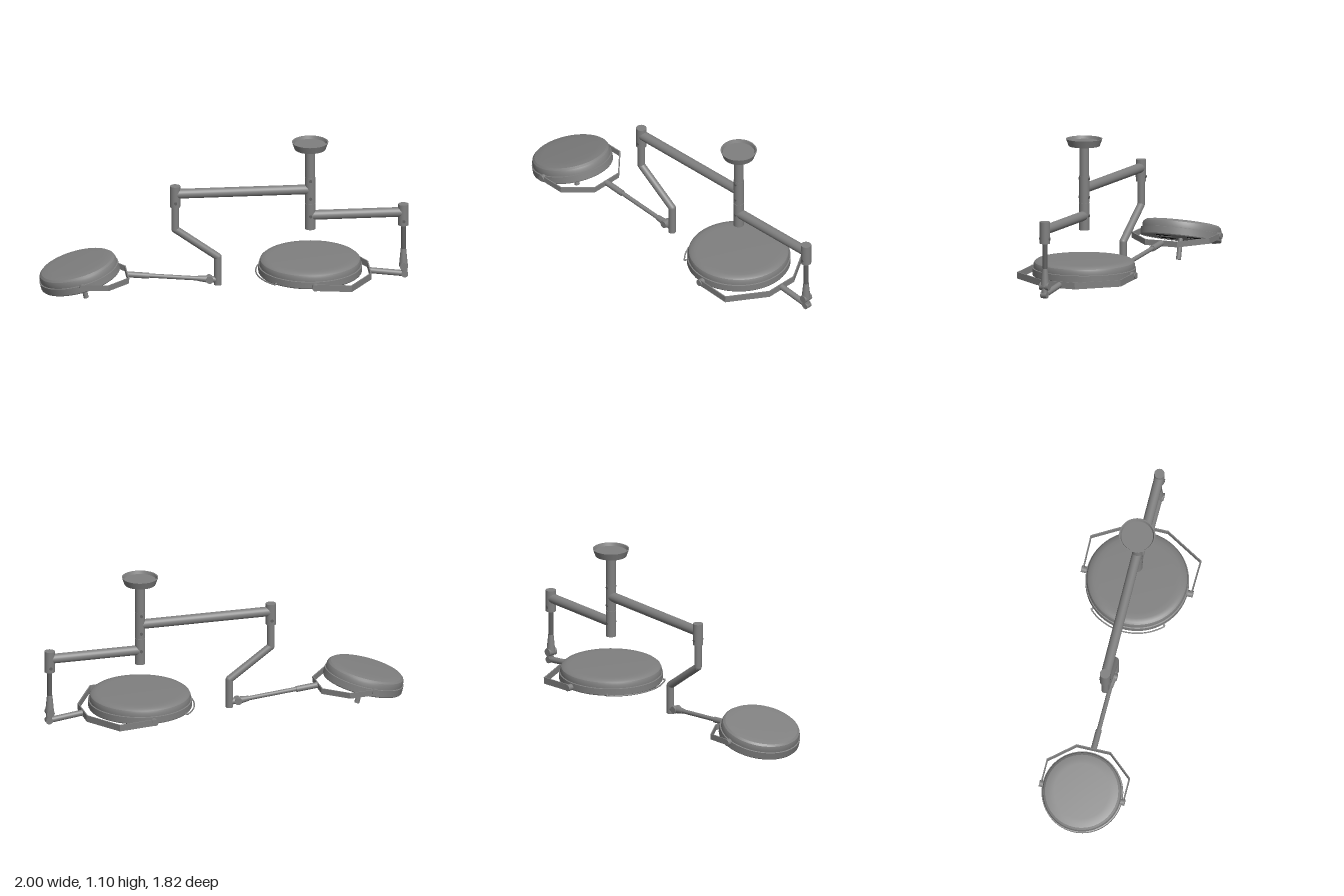
import * as THREE from 'three';
import { toCreasedNormals } from 'three/addons/utils/BufferGeometryUtils.js';

const grey = new THREE.MeshStandardMaterial({ color: 0x808080, side: THREE.DoubleSide });
const darkGrey = new THREE.MeshStandardMaterial({ color: 0x606060 });
const black = new THREE.MeshStandardMaterial({ color: 0x0c0c0c });
const V = (x, y, z = 0) => new THREE.Vector3(x, y, z);

function add(parent, name, geo, mat = grey) {
  const mesh = new THREE.Mesh(geo, mat);
  mesh.name = name;
  parent.add(mesh);
  return mesh;
}

// Round bar from a to b, optionally tapered
function bar(parent, name, a, b, r0, r1 = r0, mat = grey) {
  const dir = b.clone().sub(a);
  const m = add(parent, name, new THREE.CylinderGeometry(r1, r0, dir.length(), 24), mat);
  m.position.copy(a).add(b).multiplyScalar(0.5);
  m.quaternion.setFromUnitVectors(V(0, 1), dir.normalize());
}

function ball(parent, name, p, r) {
  add(parent, name, new THREE.SphereGeometry(r, 20, 14)).position.copy(p);
}

// Pair of bolt heads on both sides of an upright
function bolts(parent, u, y, r) {
  bar(parent, 'bolts', V(u, y, -r - 0.003), V(u, y, r + 0.003), 0.011, 0.011, darkGrey);
}

function lathe(points) {
  const pts = points.map(([x, y]) => new THREE.Vector2(x, y));
  return toCreasedNormals(new THREE.LatheGeometry(pts, 56), 0.5);
}

// Round lamp head, underside at y = 0, with lenses set in the face
function lampHead(name, R, h, holes, holeR) {
  const g = new THREE.Group();
  g.name = name;
  add(g, 'lampShell', lathe([
    [R - 0.02, 0], [R - 0.004, 0], [R, 0.006], [R, h * 0.46], [R - 0.008, h * 0.48],
    [R - 0.008, h * 0.7], [R - 0.014, h * 0.84], [R - 0.028, h * 0.94],
    [R - 0.055, h * 0.985], [R - 0.09, h], [0, h]]));
  const face = new THREE.Shape().absarc(0, 0, R - 0.02, 0, Math.PI * 2);
  for (const [x, z] of holes) {
    face.holes.push(new THREE.Path().absarc(x, z, holeR, 0, Math.PI * 2, true));
    add(g, 'lens', new THREE.CircleGeometry(holeR, 32).rotateX(Math.PI / 2), black)
      .position.set(x, 0.004, z);
  }
  const plate = new THREE.ExtrudeGeometry(face, { depth: 0.014, bevelEnabled: false, curveSegments: 28 });
  add(g, 'lampFace', plate.rotateX(Math.PI / 2).translate(0, 0.016, 0));
  return g;
}

// Angular flat-band yoke with side pivots; pts run from pivot to mid on one side
function yoke(pts, R, bandH) {
  const g = new THREE.Group();
  g.name = 'yoke';
  const path = [...pts.map(p => V(...p)), ...pts.map(([x, y, z]) => V(x, y, -z)).reverse()];
  for (let i = 0; i < path.length - 1; i++) {
    const a = path[i], b = path[i + 1];
    const m = add(g, 'yokeBand', new THREE.BoxGeometry(0.008, bandH, a.distanceTo(b) + 0.005));
    m.position.copy(a).add(b).multiplyScalar(0.5);
    m.lookAt(b);
  }
  for (const s of [-1, 1]) {
    const [x, y, z] = pts[0];
    bar(g, 'yokePivot', V(x, y, s * (R - 0.015)), V(x, y, s * (z + 0.012)), 0.023);
  }
  return g;
}

const ring = (n, r, start) => Array.from({ length: n }, (_, i) => {
  const a = start + (i * Math.PI * 2) / n;
  return [r * Math.cos(a), r * Math.sin(a)];
});

export function createModel() {
  const model = new THREE.Group();
  model.name = 'surgicalLamp';

  // Everything lies in one vertical plane: local x runs along the arms
  const rig = new THREE.Group();
  rig.name = 'rig';
  rig.position.set(0.475, 0, 0.44);
  rig.rotation.y = -0.73;
  model.add(rig);

  // Ceiling mount and pole
  add(rig, 'ceilingMount', lathe([[0, 1.05], [0.108, 1.05], [0.126, 1.1], [0.117, 1.1], [0.11, 1.08], [0, 1.08]]));
  bar(rig, 'pole', V(0, 0.83), V(0, 1.06), 0.034);
  bar(rig, 'upperHub', V(0, 0.652), V(0, 0.84), 0.036);
  bar(rig, 'lowerHub', V(0, 0.46), V(0, 0.648), 0.036);
  bar(rig, 'hubSeam', V(0, 0.64), V(0, 0.66), 0.033);
  for (const y of [0.82, 0.69, 0.56]) bolts(rig, 0, y, 0.036);

  // Horizontal arms with end knuckles
  for (const [name, u, y] of [['upperArm', -0.938, 0.75], ['lowerArm', 0.648, 0.56]]) {
    bar(rig, name, V(0, y), V(u, y), 0.034);
    bar(rig, name + 'Knuckle', V(u, y - 0.095), V(u, y + 0.058), 0.036);
    bolts(rig, u, y - 0.06, 0.036);
  }

  // Cranked drop tube of the small lamp
  const drop = [V(-0.938, 0.67), V(-0.938, 0.49), V(-0.641, 0.275), V(-0.641, 0.07)];
  for (let i = 0; i < 3; i++) {
    bar(rig, 'dropTube', drop[i], drop[i + 1], 0.026);
    if (i) ball(rig, 'dropTubeBend', drop[i], 0.026);
  }

  // Link to the small lamp
  bar(rig, 'linkBracket', V(-0.64, 0.107), V(-0.70, 0.112), 0.022);
  bar(rig, 'linkJoint', V(-0.70, 0.112, -0.028), V(-0.70, 0.112, 0.028), 0.026);
  bar(rig, 'linkSocket', V(-0.70, 0.112), V(-0.78, 0.12), 0.027, 0.018);
  bar(rig, 'linkRod', V(-0.76, 0.118), V(-1.14, 0.155), 0.015);
  bar(rig, 'linkSleeve', V(-1.12, 0.152), V(-1.275, 0.168), 0.021);

  // Drop rod and link of the large lamp
  bar(rig, 'dropRod', V(0.648, 0.27), V(0.648, 0.48), 0.017, 0.017, darkGrey);
  bar(rig, 'dropSocket', V(0.648, 0.165), V(0.648, 0.29), 0.031, 0.019);
  bar(rig, 'dropJoint', V(0.648, 0.165, -0.033), V(0.648, 0.165, 0.033), 0.028);
  bar(rig, 'dropElbow', V(0.65, 0.165), V(0.655, 0.106), 0.022);
  bar(rig, 'elbowJoint', V(0.655, 0.106, -0.022), V(0.655, 0.106, 0.022), 0.024);
  bar(rig, 'lampLink', V(0.655, 0.106), V(0.408, 0.138), 0.021);

  // Large lamp: seven lenses, yoke and grab rail
  const big = lampHead('largeLamp', 0.359, 0.11, [[0, 0], ...ring(6, 0.228, 0)], 0.072);
  big.position.y = 0.145;
  rig.add(big);
  rig.add(yoke([[0, 0.166, 0.385], [0.25, 0.152, 0.39], [0.411, 0.138, 0.12]], 0.359, 0.046));
  const rail = Array.from({ length: 13 }, (_, i) => {
    const a = Math.PI + (i / 6 - 1) * 0.77;
    return V(0.376 * Math.cos(a), 0.152, 0.376 * Math.sin(a));
  });
  add(rig, 'grabRail', new THREE.TubeGeometry(new THREE.CatmullRomCurve3(rail), 36, 0.005, 8));
  for (const p of [rail[0], rail[12]])
    bar(rig, 'railPost', p, V(p.x * 0.92, p.y + 0.008, p.z * 0.92), 0.006);

  // Small lamp: tilted, four lenses and a centre handle
  const tilt = new THREE.Group();
  tilt.name = 'smallLampTilt';
  tilt.position.set(-1.608, 0.205, 0);
  tilt.rotation.z = 0.265;
  rig.add(tilt);
  const small = lampHead('smallLamp', 0.282, 0.117, ring(4, 0.16, 0.5), 0.068);
  small.position.y = -0.058;
  tilt.add(small);
  bar(tilt, 'handle', V(0, -0.205), V(0, -0.045), 0.018, 0.016);
  const smallYoke = yoke([[0, 0.187, 0.292], [0.18, 0.18, 0.292], [0.335, 0.166, 0.12]], 0.282, 0.04);
  smallYoke.position.x = -1.608;
  rig.add(smallYoke);

  return model;
}
